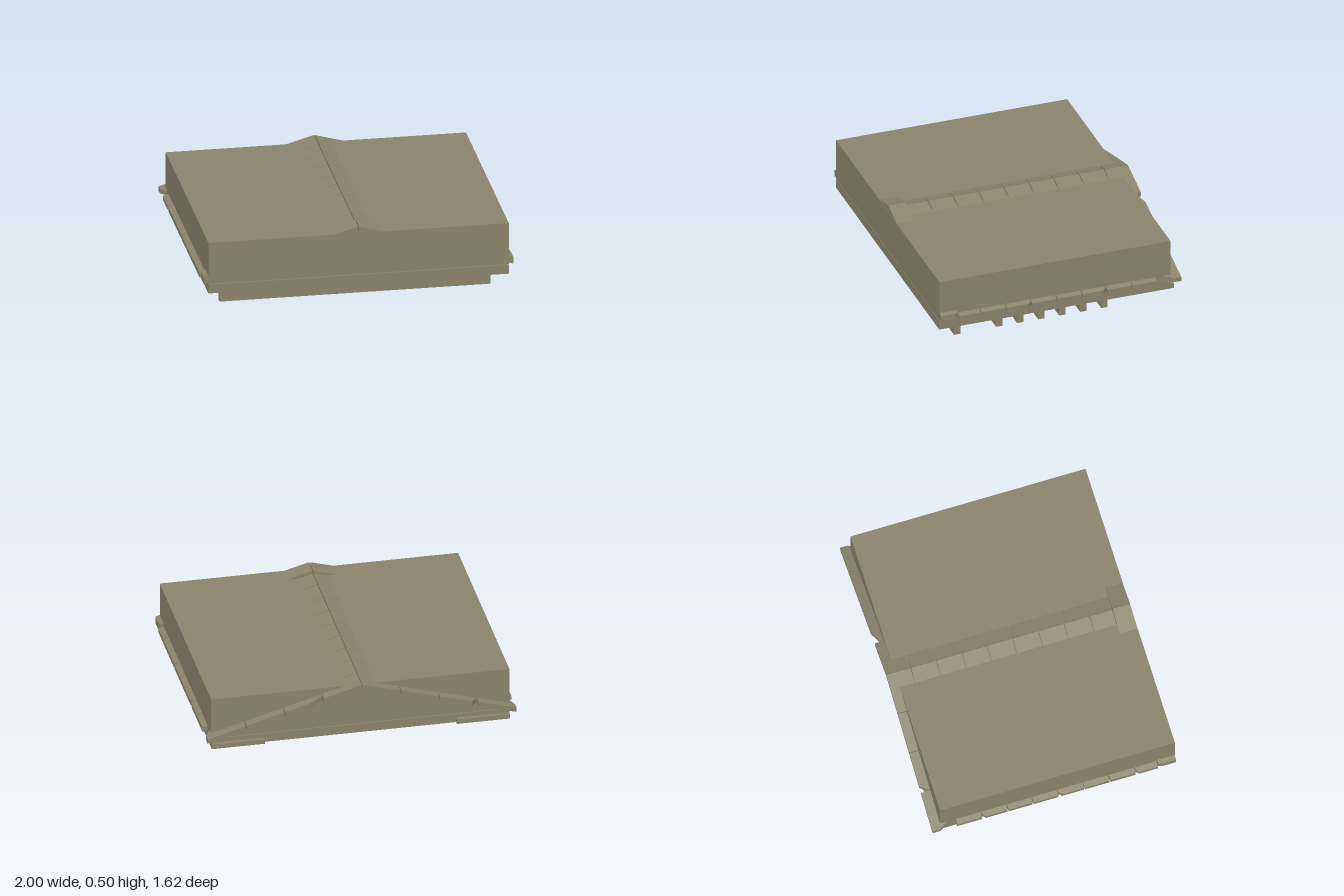
import * as THREE from 'three';

const wood = new THREE.MeshStandardMaterial({ color: 0x8a846c, flatShading: true });
wood.name = 'weatheredWood';

const SLOPE = 0.28;

function add(parent, geometry, name) {
  const mesh = new THREE.Mesh(geometry, wood);
  mesh.name = name;
  parent.add(mesh);
  return mesh;
}

// Box given by its minimum and maximum corners
function block(parent, name, [x0, y0, z0], [x1, y1, z1]) {
  const geometry = new THREE.BoxGeometry(x1 - x0, y1 - y0, z1 - z0);
  geometry.translate((x0 + x1) / 2, (y0 + y1) / 2, (z0 + z1) / 2);
  return add(parent, geometry, name);
}

// Roof board: a plan outline of [x, z] corners, thickened and sheared to the pitch
function roofBoard(parent, name, outline, top, thickness) {
  const shape = new THREE.Shape(outline.map(([x, z]) => new THREE.Vector2(x, -z)));
  const geometry = new THREE.ExtrudeGeometry(shape, { depth: thickness, bevelEnabled: false });
  geometry.rotateX(-Math.PI / 2);
  const p = geometry.attributes.position;
  for (let i = 0; i < p.count; i++) {
    p.setY(i, p.getY(i) + top - thickness - SLOPE * Math.abs(p.getX(i)));
  }
  geometry.computeVertexNormals();
  return add(parent, geometry, name);
}

export function createModel() {
  const model = new THREE.Group();
  model.name = 'roofBlock';

  // Main body and the slab below it
  block(model, 'body', [-0.965, 0.18, -0.745], [0.965, 0.46, 0.81]);
  block(model, 'floorSlab', [-0.965, 0.115, -0.745], [0.965, 0.175, 0.81]);
  block(model, 'slabLedge', [0.62, 0.115, -0.77], [0.965, 0.147, -0.745]);
  block(model, 'slabLedge', [-0.965, 0.115, -0.77], [-0.62, 0.147, -0.745]);

  // Floor joists, two of them broken short
  const joists = new THREE.Group();
  joists.name = 'joists';
  model.add(joists);
  for (let i = 0; i < 8; i++) {
    const z = 0.655 - i * 0.1414;
    const left = i === 1 ? 0.43 : 0.87;
    const right = i === 6 ? -0.4 : -0.87;
    block(joists, 'joist', [right, 0.004, z - 0.021], [left, 0.07, z + 0.021]);
  }
  joists.children[0].geometry.translate(0, -0.004, 0);

  // Rows of pitched roof boards, four to each side
  const roof = new THREE.Group();
  roof.name = 'roofBoards';
  model.add(roof);
  const rows = [-0.808, -0.645, -0.475, -0.305, -0.14, 0.03, 0.2, 0.37, 0.54, 0.69];
  const gap = 0.003;
  for (let r = 0; r < rows.length - 1; r++) {
    const z0 = rows[r] + gap, z1 = rows[r + 1] - gap;
    for (const side of [-1, 1]) {
      for (let c = 0; c < 4; c++) {
        const a = side * (c * 0.25 + gap);
        const b = side * (c === 3 ? 1 : (c + 1) * 0.25 - gap);
        let outline = [[a, z0], [b, z0], [b, z1], [a, z1]];
        // Chipped corners on the back row and along the eaves
        if (r === 0 && side > 0 && c === 1) outline = [[a + 0.08, z0], [b, z0], [b, z1], [a, z1], [a, z0 + 0.035]];
        if (r === 0 && side < 0 && c === 2) outline = [[a, z0], [b + 0.035, z0], [b, z0 + 0.05], [b, z1], [a, z1]];
        if (r === 0 && c === 3) {
          outline = [[a, z0], [b, z0], [b, z0 + 0.05], [b - side * 0.035, z0 + 0.11], [b - side * 0.035, z1], [a, z1]];
        } else if (c === 3 && (r + (side > 0 ? 0 : 1)) % 3 === 0) {
          outline = [[a, z0], [b - side * 0.02, z0], [b, z0 + 0.02], [b, z1], [a, z1]];
        }
        roofBoard(roof, 'roofBoard', outline, 0.487, 0.03);
      }
    }
  }

  // Thicker raised trim across the front end of the roof
  for (const side of [-1, 1]) {
    const inner = side * 0.003, outer = side * 0.995;
    const outline = [[inner, 0.692], [outer - side * 0.01, 0.692], [outer, 0.715], [outer, 0.808], [inner, 0.808]];
    roofBoard(roof, 'frontTrim', outline, 0.505, 0.045);
  }
  return model;
}
